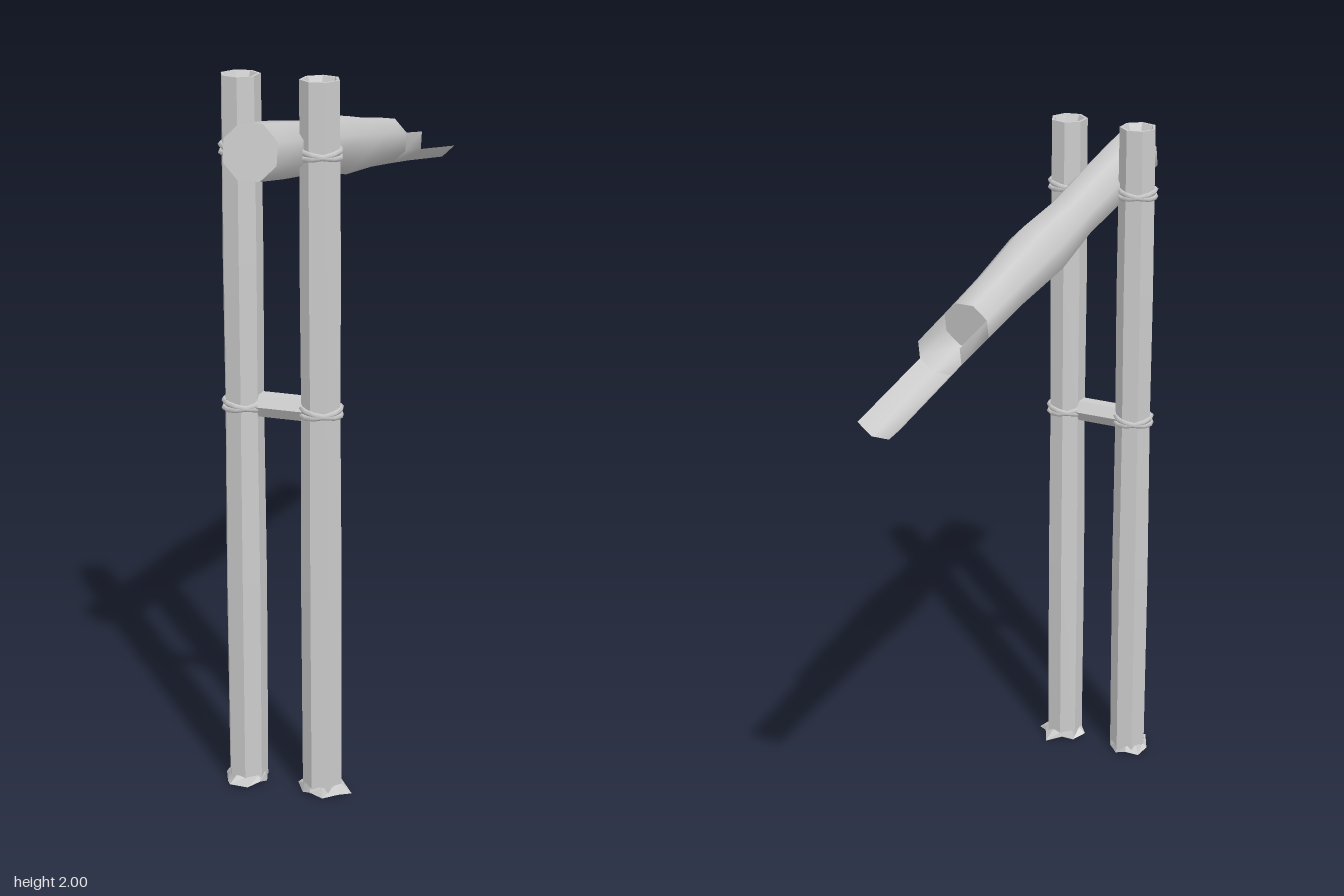
import * as THREE from 'three';

const grey = (flat = false) => new THREE.MeshStandardMaterial({
  color: 0xcccccc, flatShading: flat, side: THREE.DoubleSide,
});

const POST_Z = 0.55;

function add(parent, name, geometry, flat = false) {
  const mesh = new THREE.Mesh(geometry, grey(flat));
  mesh.name = name;
  parent.add(mesh);
  return mesh;
}

// Octagonal cane wall along -z from rings [distance, radius];
// it covers `faces` of the eight sides, starting at corner `first`.
function caneWall(rings, first, faces) {
  const closed = faces === 8;
  const n = closed ? 8 : faces + 1;
  const positions = [], index = [];
  for (const [t, r] of rings) {
    for (let i = 0; i < n; i++) {
      const a = (first + i + 0.5) * Math.PI / 4;
      positions.push(r * Math.cos(a), r * Math.sin(a), -t);
    }
  }
  for (let k = 0; k < rings.length - 1; k++) {
    for (let i = 0; i < faces; i++) {
      const a = k * n + i, b = k * n + (i + 1) % n;
      index.push(a, b + n, b, a, a + n, b + n);
    }
  }
  const g = new THREE.BufferGeometry();
  g.setAttribute('position', new THREE.Float32BufferAttribute(positions, 3));
  g.setIndex(index);
  g.computeVertexNormals();
  return g;
}

// Tilted spout: full cane, then two steps cut down to an open trough
function createSpout() {
  const spout = new THREE.Group();
  spout.name = 'spout';
  spout.position.set(-0.006, 1.85, 0.78);
  spout.rotation.x = -0.182;

  const full = [[0, 0.079], [0.18, 0.079], [0.46, 0.073], [0.67, 0.086], [0.9, 0.073], [1.1, 0.069]];
  add(spout, 'spoutCane', caneWall(full, 0, 8));
  add(spout, 'spoutStep', caneWall([[1.1, 0.069], [1.256, 0.067]], 3, 5));
  add(spout, 'spoutTrough', caneWall([[1.256, 0.067], [1.6, 0.067]], 4, 3));

  // Closed front end and the inner wall at the cut
  for (const [name, t, r] of [['spoutEnd', 0, 0.079], ['spoutInnerWall', 1.1, 0.069]]) {
    const disc = add(spout, name, new THREE.CircleGeometry(r, 8, Math.PI / 8));
    disc.position.z = -t;
  }
  return spout;
}

// Hollow-topped seven-sided post
function createPost() {
  const profile = [[0, 0.012], [0.055, 0.012], [0.057, 0.6], [0.054, 1.1], [0.056, 1.5], [0.054, 2], [0.046, 2], [0.033, 1.97], [0, 1.97]]
    .map(([r, y]) => new THREE.Vector2(r, y));
  return new THREE.LatheGeometry(profile, 7);
}

// Ragged sheath around the foot of a post, radii listed around the ring
function createSheath(radii) {
  const n = radii.length;
  const positions = [0, 0.004, 0], index = [];
  radii.forEach((r, i) => {
    const a = i / n * Math.PI * 2, c = Math.cos(a), s = Math.sin(a);
    positions.push(0.052 * c, 0.028, 0.052 * s, r * c, i % 2 ? 0.012 : 0, r * s);
  });
  for (let i = 0; i < n; i++) {
    const a = 1 + 2 * i, b = 1 + 2 * ((i + 1) % n);
    index.push(a, b, b + 1, a, b + 1, a + 1, 0, a + 1, b + 1);
  }
  const g = new THREE.BufferGeometry();
  g.setAttribute('position', new THREE.Float32BufferAttribute(positions, 3));
  g.setIndex(index);
  g.computeVertexNormals();
  return g;
}

// Two crossed loops of rope round a post
function createLashing(x, y) {
  const lashing = new THREE.Group();
  lashing.name = 'lashing';
  lashing.position.set(x, y, POST_Z);
  for (const side of [-1, 1]) {
    const loop = add(lashing, 'ropeLoop', new THREE.TorusGeometry(0.054, 0.008, 5, 12));
    loop.rotation.set(Math.PI / 2 + side * 0.08, side * 0.17, 0);
  }
  return lashing;
}

export function createModel() {
  const model = new THREE.Group();
  model.name = 'bambooWaterSpout';

  const posts = [
    { name: 'rightPost', x: -0.12, turn: 0.2, foot: [0.055, 0.06, 0.062, 0.083, 0.06, 0.065, 0.065, 0.06, 0.055, 0.056] },
    { name: 'leftPost', x: 0.1, turn: 0.65, foot: [0.085, 0.075, 0.06, 0.06, 0.058, 0.072, 0.058, 0.056, 0.084, 0.06] },
  ];
  for (const { name, x, turn, foot } of posts) {
    const post = add(model, name, createPost(), true);
    post.position.set(x, 0, POST_Z);
    post.rotation.y = turn;
    add(model, name + 'Foot', createSheath(foot), true).position.set(x, 0, POST_Z);
    for (const y of [1.105, 1.805]) model.add(createLashing(x, y));
  }

  // Bar between the posts and the pivot through the spout
  for (const [name, y, r] of [['crossbar', 1.107, 0.035], ['pivot', 1.805, 0.03]]) {
    const bar = add(model, name, new THREE.CylinderGeometry(r, r, 0.2, 6), true);
    bar.rotation.z = Math.PI / 2;
    bar.position.set(-0.01, y, POST_Z);
  }

  model.add(createSpout());
  return model;
}
